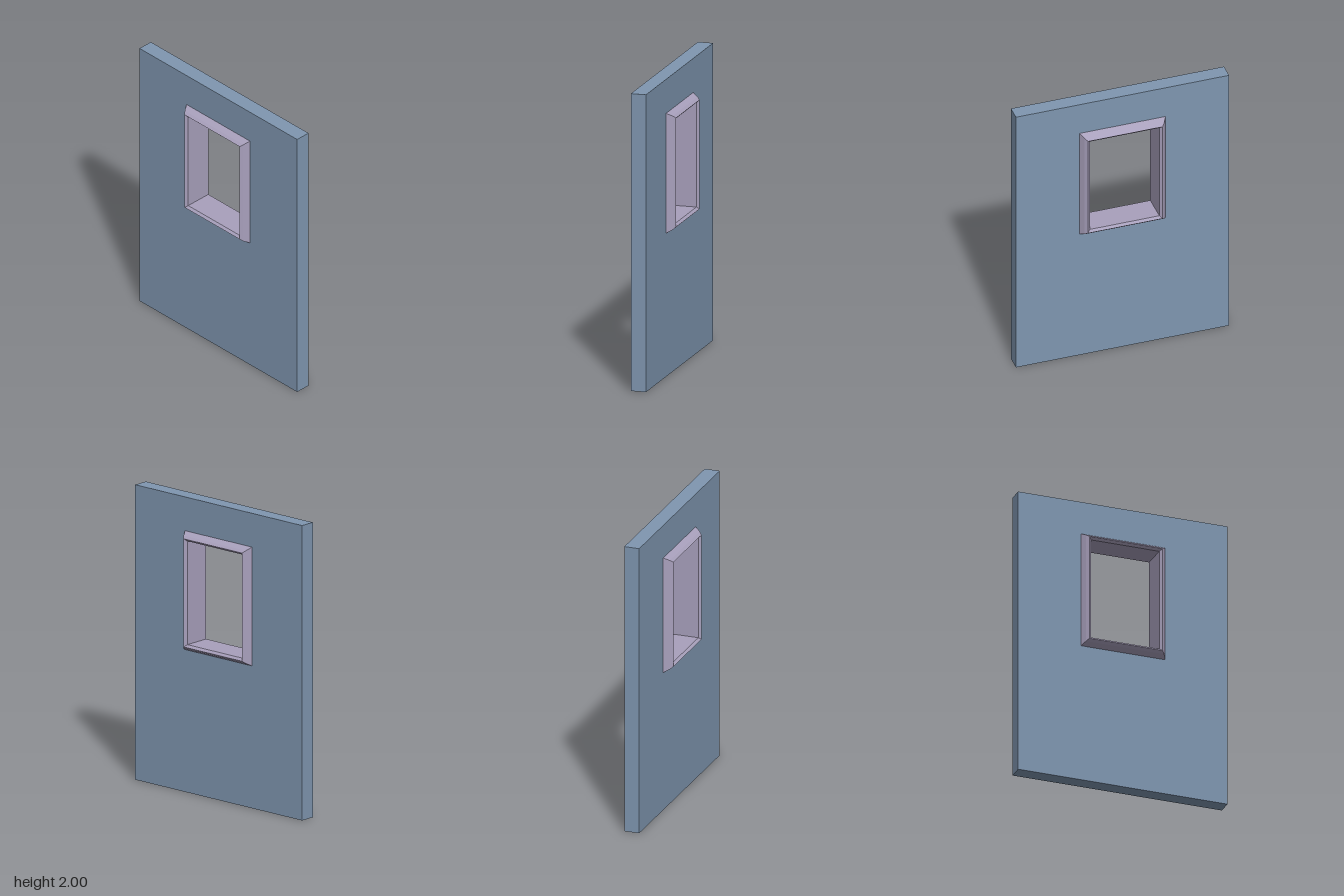
import * as THREE from 'three';

const WALL = { w: 1.47, h: 2, d: 0.104 };
const OPENING = { x: 0.24, y: 0.351, cy: 1.368 }; // half width, half height, centre height

function rectangle(target, x, y0, y1) {
  return target.moveTo(-x, y0).lineTo(x, y0).lineTo(x, y1).lineTo(-x, y1).closePath();
}

// Flat panel with a window hole hidden under the frame
function wallGeometry() {
  const shape = rectangle(new THREE.Shape(), WALL.w / 2, 0, WALL.h);
  const hy = OPENING.y + 0.02;
  shape.holes.push(rectangle(new THREE.Path(), OPENING.x + 0.02, OPENING.cy - hy, OPENING.cy + hy));
  const geometry = new THREE.ExtrudeGeometry(shape, { depth: WALL.d, bevelEnabled: false });
  return geometry.translate(0, 0, -WALL.d / 2);
}

// Moulding profile [distance from opening, z] swept around four mitred corners
function frameGeometry() {
  const half = [[0.057, 0.05], [0.034, 0.09], [0.017, 0.108], [0, 0.092]];
  const profile = [...half, ...half.map(([d, z]) => [d, -z]).reverse()];
  const corners = [[1, 1], [-1, 1], [-1, -1], [1, -1]];
  const point = (i, k) => {
    const [d, z] = profile[i];
    const [sx, sy] = corners[k % 4];
    return [sx * (OPENING.x + d), OPENING.cy + sy * (OPENING.y + d * 0.93), z];
  };
  const positions = [];
  for (let k = 0; k < 4; k++) {
    for (let i = 0; i < profile.length - 1; i++) {
      const a = point(i, k), b = point(i + 1, k);
      const c = point(i + 1, k + 1), d = point(i, k + 1);
      positions.push(...a, ...d, ...c, ...a, ...c, ...b);
    }
  }
  const geometry = new THREE.BufferGeometry();
  geometry.setAttribute('position', new THREE.Float32BufferAttribute(positions, 3));
  geometry.computeVertexNormals();
  return geometry;
}

function part(name, geometry, color) {
  const mesh = new THREE.Mesh(geometry, new THREE.MeshStandardMaterial({ color, flatShading: true }));
  mesh.name = name;
  return mesh;
}

export function createModel() {
  const group = new THREE.Group();
  group.name = 'wallWithWindow';
  group.add(part('wall', wallGeometry(), 0x7f96b0));
  group.add(part('windowFrame', frameGeometry(), 0xa8a0bc));
  return group;
}
